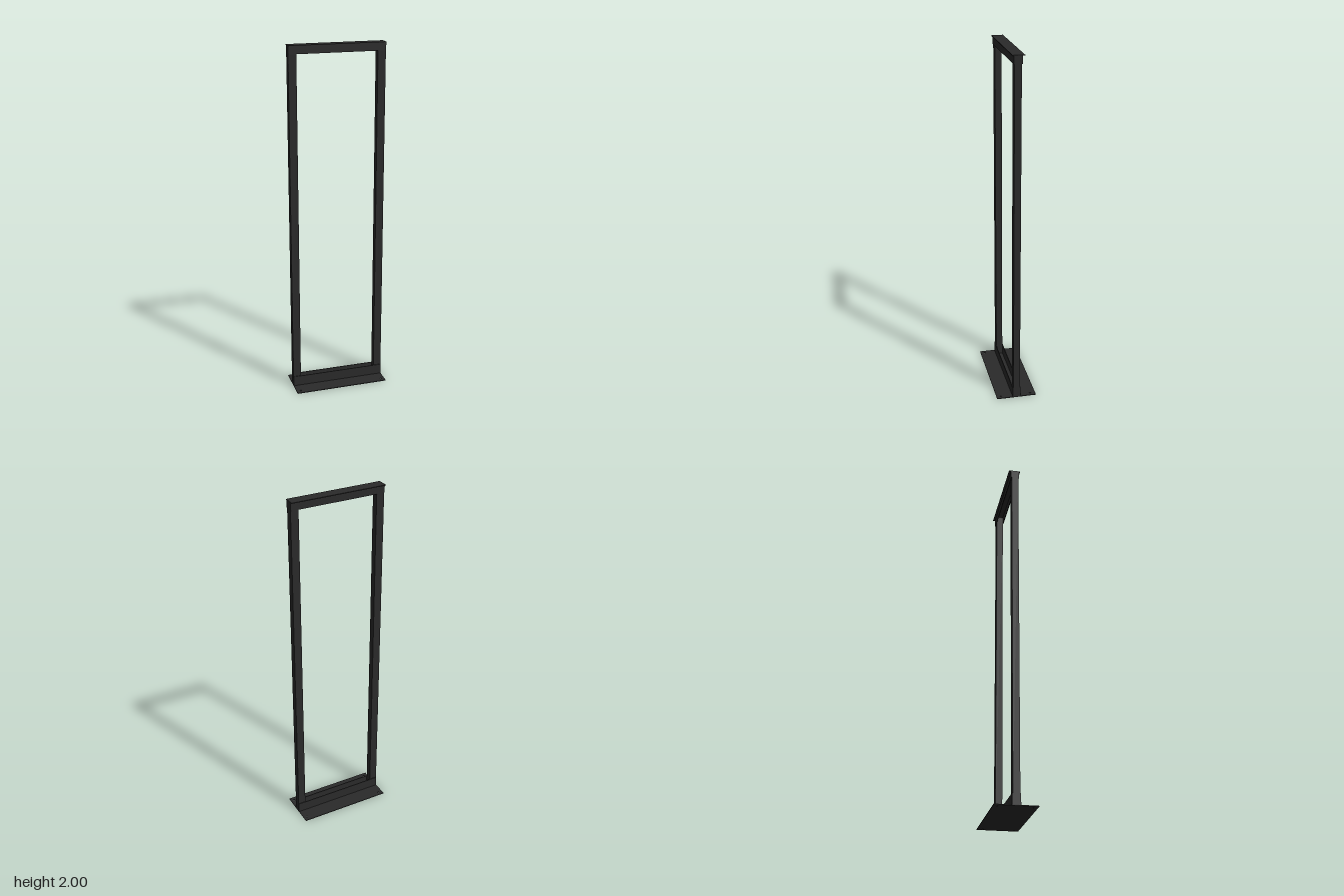
import * as THREE from 'three';

const W = 0.544, H = 2, T = 0.004;
const POST_W = 0.045, POST_D = 0.038;

export function createModel() {
  const group = new THREE.Group();
  const mat = new THREE.MeshStandardMaterial({ color: 0x2a2a2a });

  const add = (name, geo, x, y, z) => {
    const m = new THREE.Mesh(geo, mat);
    m.name = name;
    m.position.set(x, y, z);
    group.add(m);
    return m;
  };
  const box = (name, w, h, d, x, y, z) => add(name, new THREE.BoxGeometry(w, h, d), x, y, z);

  // Floor plate with four anchor holes (shape y becomes -z)
  const z0 = -0.115, z1 = 0.115;
  const plate = new THREE.Shape([[-W / 2, -z1], [W / 2, -z1], [W / 2, -z0], [-W / 2, -z0]]
    .map(([x, y]) => new THREE.Vector2(x, y)));
  for (const [x, z] of [[-0.247, -0.094], [0.251, -0.085], [-0.247, 0.09], [0.251, 0.09]]) {
    plate.holes.push(new THREE.Path().absarc(x, -z, 0.0045, 0, Math.PI * 2, true));
  }
  const plateGeo = new THREE.ExtrudeGeometry(plate, { depth: T, bevelEnabled: false, curveSegments: 10 });
  plateGeo.rotateX(-Math.PI / 2);
  add('basePlate', plateGeo, 0, 0, 0);

  // Uprights
  for (const [side, s] of [['left', 1], ['right', -1]]) {
    box(side + 'Post', POST_W, H - 2 * T, POST_D, s * (W - POST_W) / 2, H / 2, 0);
  }

  // Vertical flanges clamping the posts, front and back
  for (const [face, s] of [['front', 1], ['back', -1]]) {
    const z = s * (POST_D + T) / 2;
    box(face + 'BaseFlange', W, 0.063 - T, T, 0, (0.063 + T) / 2, z);
    box(face + 'TopFlange', W, 0.047 - T, T, 0, H - (0.047 + T) / 2, z);
  }

  // Top cap with a narrow lip on both sides
  box('topCap', W, T, 0.065, 0, H - T / 2, -0.003);

  return group;
}
